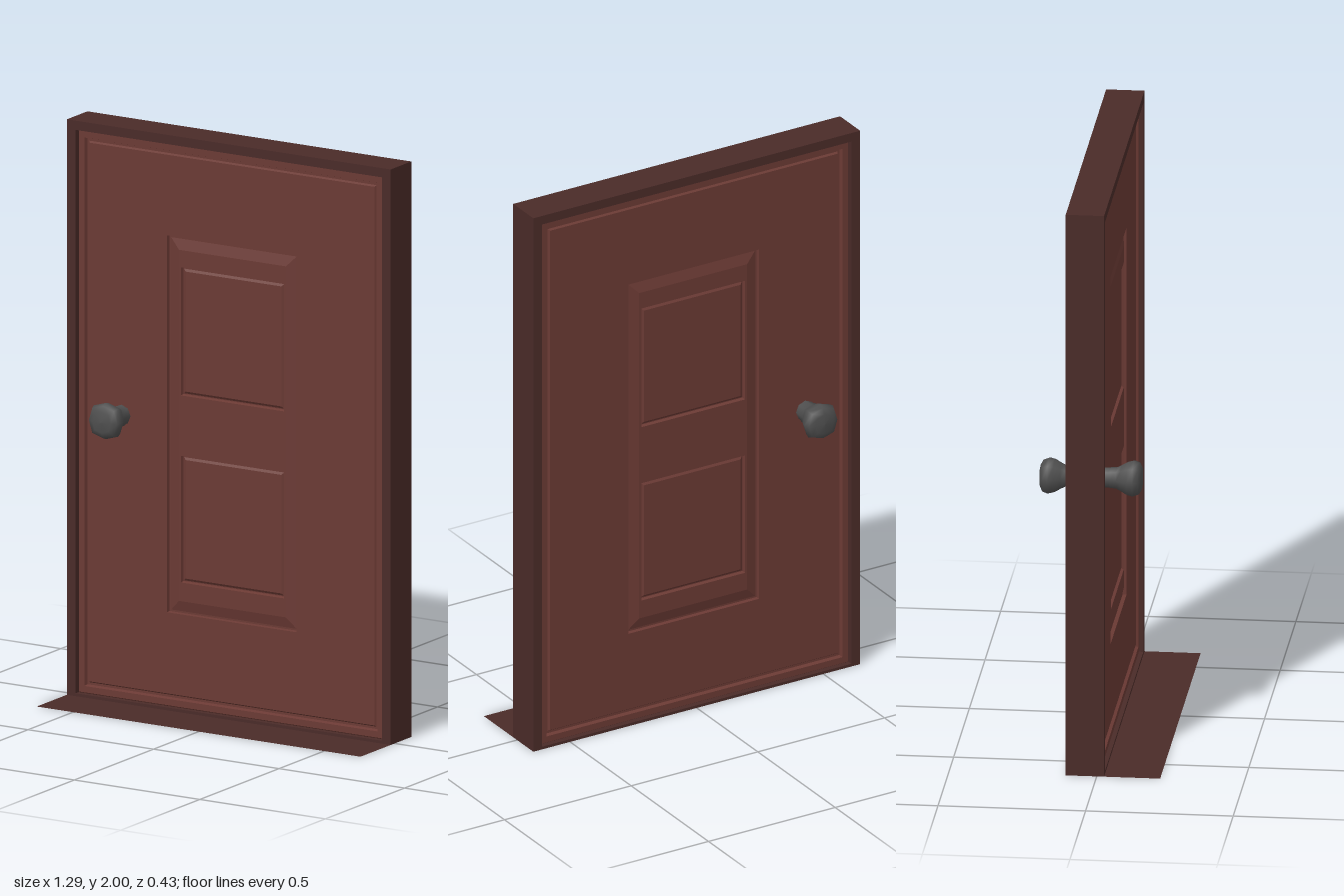
import * as THREE from 'three';

const frameMat = new THREE.MeshStandardMaterial({ color: 0x4a2b28 });
const doorMat = new THREE.MeshStandardMaterial({ color: 0x6b3a34 });
const knobMat = new THREE.MeshStandardMaterial({ color: 0x4f4f4f });
const thresholdMat = new THREE.MeshStandardMaterial({ color: 0x4a2b28, side: THREE.DoubleSide });

// A rectangle is [left, right, bottom, top].
const inset = ([l, r, b, t], d) => [l + d, r - d, b + d, t - d];

function corners([l, r, b, t]) {
  return [[l, b], [r, b], [r, t], [l, t]];
}

function rectPath(rect, Type = THREE.Path) {
  return new Type(corners(rect).map(([x, y]) => new THREE.Vector2(x, y)));
}

function addMesh(parent, name, geometry, material) {
  const mesh = new THREE.Mesh(geometry, material);
  mesh.name = name;
  parent.add(mesh);
  return mesh;
}

// Moulding swept around a rectangle; each step is [inset, z], outside to inside.
function moulding(rect, steps) {
  const rings = steps.map(([d, z]) => corners(inset(rect, d)).map(([x, y]) => [x, y, z]));
  const pos = [];
  for (let s = 0; s < rings.length - 1; s++) {
    for (let i = 0; i < 4; i++) {
      const j = (i + 1) % 4;
      const a = rings[s][i], b = rings[s][j], c = rings[s + 1][j], d = rings[s + 1][i];
      pos.push(...a, ...b, ...c, ...a, ...c, ...d);
    }
  }
  const g = new THREE.BufferGeometry();
  g.setAttribute('position', new THREE.Float32BufferAttribute(pos, 3));
  g.computeVertexNormals();
  return g;
}

// Flat board with rectangular openings.
function board(rect, holes, z) {
  const shape = rectPath(rect, THREE.Shape);
  shape.holes = holes.map((h) => rectPath(h));
  return new THREE.ShapeGeometry(shape).translate(0, 0, z);
}

// Eight-sided knob, slightly squared off, pointing along +z.
function knobGeometry() {
  const profile = [[0.036, 0], [0.037, 0.022], [0.045, 0.038], [0.058, 0.06],
    [0.063, 0.08], [0.056, 0.098], [0.036, 0.108], [0, 0.111]]
    .map(([r, y]) => new THREE.Vector2(r, y));
  const g = new THREE.LatheGeometry(profile, 8);
  const p = g.attributes.position;
  for (let i = 0; i < p.count; i++) {
    const x = p.getX(i), z = p.getZ(i);
    if (Math.abs(x * z) > 1e-6) {
      p.setX(i, x * 1.08);
      p.setZ(i, z * 1.08);
    }
  }
  return g.rotateX(Math.PI / 2);
}

const slab = [-0.61, 0.61, 0.01, 1.968];
const panel = [-0.258, 0.258, 0.335, 1.645];
const squares = [[-0.205, 0.205, 0.445, 0.885], [-0.205, 0.205, 1.095, 1.54]];

// One face of the door leaf, looking along +z.
function doorFace(knobX) {
  const face = new THREE.Group();
  addMesh(face, 'edgeMoulding', moulding(slab, [[0, 0], [0, 0.045], [0.004, 0.051],
    [0.026, 0.051], [0.03, 0.038], [0.038, 0.038], [0.043, 0.045]]), doorMat);
  addMesh(face, 'doorBoard', board(inset(slab, 0.043), [panel], 0.045), doorMat);
  addMesh(face, 'panelBevel', moulding(panel, [[0, 0.045], [0.002, 0.032],
    [0.008, 0.032], [0.045, 0.042]]), doorMat);
  addMesh(face, 'panelField', board(inset(panel, 0.045), squares, 0.042), doorMat);
  for (const sq of squares) {
    addMesh(face, 'squareMoulding', moulding(sq, [[0, 0.042], [0.003, 0.03],
      [0.006, 0.03], [0.014, 0.036]]), doorMat);
    addMesh(face, 'squareInset', board(inset(sq, 0.014), [], 0.036), doorMat);
  }
  const knob = addMesh(face, 'knob', knobGeometry(), knobMat);
  knob.position.set(knobX, 0.996, 0.064);
  // Stem reaching back to the recessed board
  const stem = addMesh(face, 'knobStem',
    new THREE.CylinderGeometry(0.036, 0.036, 0.03, 8).rotateX(Math.PI / 2), knobMat);
  stem.position.set(knobX, 0.996, 0.055);
  return face;
}

export function createModel() {
  const model = new THREE.Group();
  model.name = 'door';

  // Door, frame and knobs share the middle plane of the wall
  const wall = new THREE.Group();
  wall.name = 'doorAndFrame';
  wall.position.z = -0.04;
  model.add(wall);

  const outline = rectPath([-0.645, 0.645, 0, 2], THREE.Shape);
  outline.holes.push(rectPath(slab));
  const frame = new THREE.ExtrudeGeometry(outline, { depth: 0.13, bevelEnabled: false });
  addMesh(wall, 'frame', frame.translate(0, 0, -0.065), frameMat);

  const front = doorFace(-0.44);
  front.name = 'frontFace';
  const back = doorFace(0.44);
  back.name = 'backFace';
  back.rotation.y = Math.PI;
  wall.add(front, back);

  // Thin threshold on the floor, reaching out in front
  const threshold = new THREE.PlaneGeometry(1.29, 0.32).rotateX(-Math.PI / 2);
  addMesh(model, 'threshold', threshold, thresholdMat).position.z = 0.055;

  return model;
}
